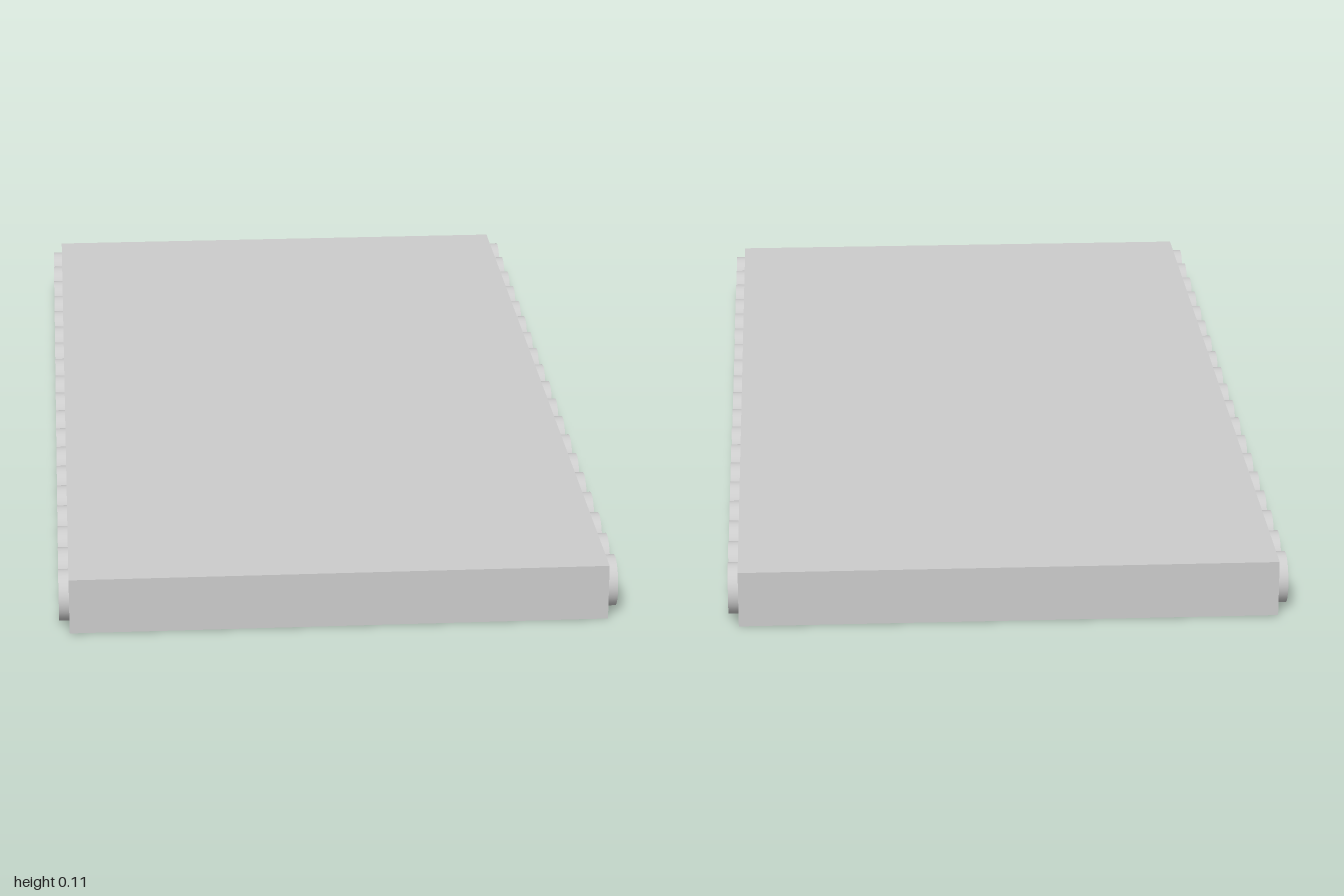
import * as THREE from 'three';

export function createModel() {
  const model = new THREE.Group();
  model.name = 'rollerBed';
  const material = new THREE.MeshStandardMaterial({ color: 0xcccccc });

  // Flat slab
  const width = 1.006, height = 0.107, length = 2;
  const slab = new THREE.Mesh(new THREE.BoxGeometry(width, height, length), material);
  slab.name = 'slab';
  slab.position.y = height / 2;
  model.add(slab);

  // Row of roller ends along each long side
  const count = 19, radius = 0.048, reach = 0.019, lastZ = 0.942;
  const rollerGeometry = new THREE.CylinderGeometry(radius, radius, reach, 32).rotateZ(Math.PI / 2);
  for (const side of [1, -1]) {
    const row = new THREE.Group();
    row.name = side > 0 ? 'leftRollers' : 'rightRollers';
    for (let i = 0; i < count; i++) {
      const roller = new THREE.Mesh(rollerGeometry, material);
      roller.name = 'roller';
      roller.position.set(side * (width + reach) / 2, height / 2, lastZ * (1 - (2 * i) / (count - 1)));
      row.add(roller);
    }
    model.add(row);
  }
  return model;
}
